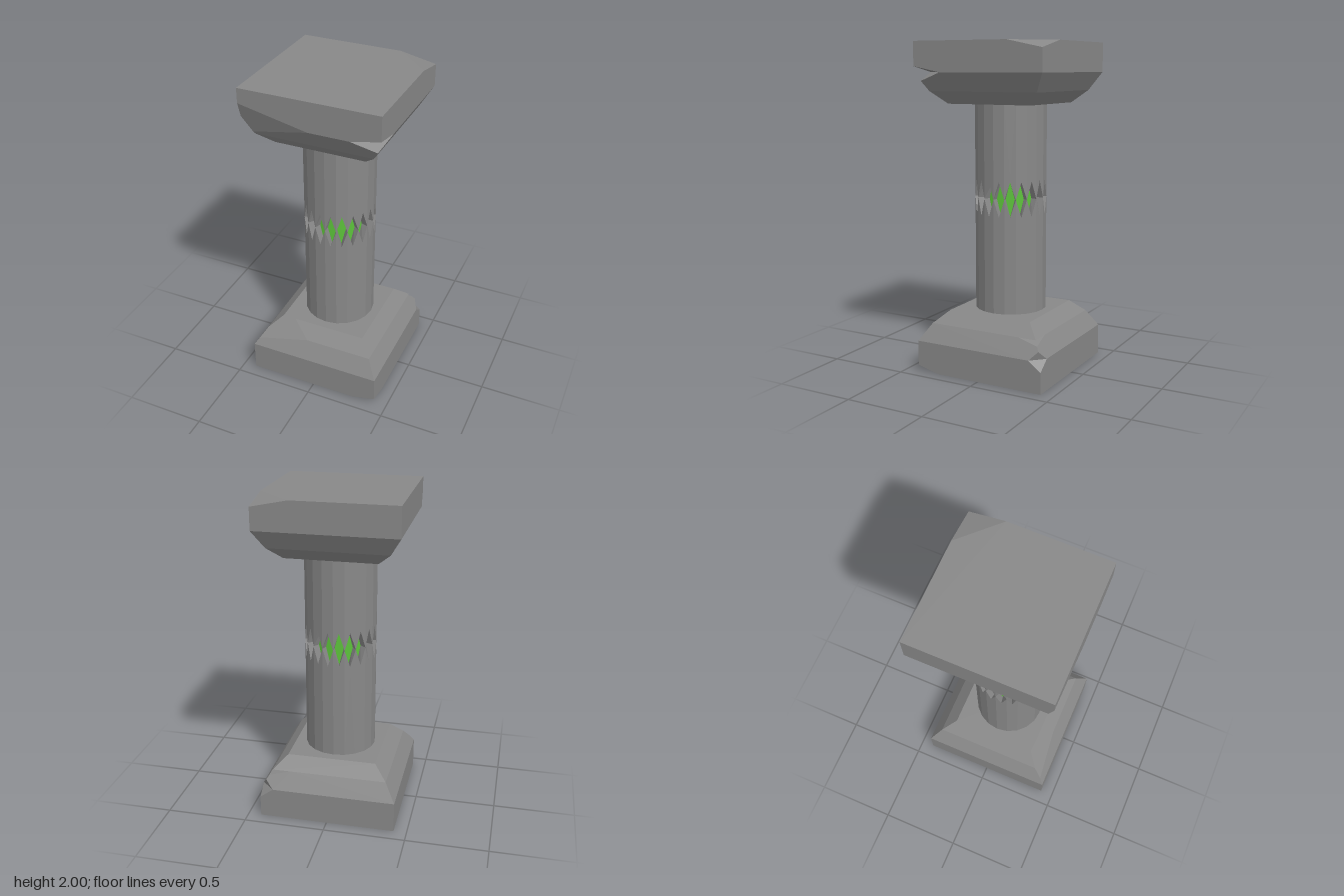
import * as THREE from 'three';
import { ConvexGeometry } from 'three/addons/geometries/ConvexGeometry.js';

const V = (x, y, z) => new THREE.Vector3(x, y, z);

// Plane through three points, turned so that the given centre lies behind it
function planeThrough(points, centre) {
  const p = new THREE.Plane().setFromCoplanarPoints(...points.map(q => V(...q)));
  return p.distanceToPoint(centre) > 0 ? p.negate() : p;
}

// Square convex slab from half-width h0 at y0 to h1 at y1, chipped by cutting planes
function chippedSlab(y0, h0, y1, h1, cuts = []) {
  const centre = V(0, (y0 + y1) / 2, 0);
  const planes = [
    new THREE.Plane(V(0, -1, 0), y0),
    new THREE.Plane(V(0, 1, 0), -y1),
    ...[1, -1].flatMap(s => [
      planeThrough([[s * h0, y0, 0], [s * h0, y0, 1], [s * h1, y1, 0]], centre),
      planeThrough([[0, y0, s * h0], [1, y0, s * h0], [0, y1, s * h1]], centre),
    ]),
    ...cuts.map(c => planeThrough(c, centre)),
  ];
  // corners are the plane triples that meet inside every other plane
  const corners = [];
  const n = planes.length;
  for (let i = 0; i < n; i++) for (let j = i + 1; j < n; j++) for (let k = j + 1; k < n; k++) {
    const [a, b, c] = [planes[i], planes[j], planes[k]];
    const bc = b.normal.clone().cross(c.normal);
    const det = a.normal.dot(bc);
    if (Math.abs(det) < 1e-5) continue;
    const p = bc.multiplyScalar(-a.constant)
      .addScaledVector(c.normal.clone().cross(a.normal), -b.constant)
      .addScaledVector(a.normal.clone().cross(b.normal), -c.constant)
      .divideScalar(det);
    if (planes.every(q => q.distanceToPoint(p) < 1e-5) &&
        corners.every(q => q.distanceTo(p) > 1e-4)) corners.push(p);
  }
  return new ConvexGeometry(corners);
}

// Half of the shaft: faceted tube whose edge at yMid is cut into V notches
function notchedShaft(yEnd, yMid, yTip, radius, inner, sides) {
  const pos = [];
  const up = yEnd < yMid;
  const tri = (a, b, c) => (up ? [a, b, c] : [a, c, b]).forEach(p => pos.push(p.x, p.y, p.z));
  const quad = (a, b, c, d) => { tri(a, b, c); tri(a, c, d); };
  const at = (angle, r, y) => V(Math.sin(angle) * r, y, Math.cos(angle) * r);
  const step = Math.PI * 2 / sides;
  const flat = Math.cos(step / 2);
  for (let i = 0; i < sides; i++) {
    const a = i * step, m = a + step / 2, b = a + step;
    const e0 = at(a, radius, yEnd), e1 = at(b, radius, yEnd);
    const m0 = at(a, radius, yMid), m1 = at(b, radius, yMid);
    const tip = at(m, radius * flat, yTip), tipIn = at(m, inner * flat, yTip);
    const in0 = at(a, inner, yMid), in1 = at(b, inner, yMid);
    // outer facet
    tri(e0, e1, tip);
    tri(e1, m1, tip);
    tri(e0, tip, m0);
    // notch walls
    quad(m0, tip, tipIn, in0);
    quad(tip, m1, in1, tipIn);
  }
  const g = new THREE.BufferGeometry();
  g.setAttribute('position', new THREE.Float32BufferAttribute(pos, 3));
  g.computeVertexNormals();
  return g;
}

export function createModel() {
  const stone = new THREE.MeshStandardMaterial({ color: 0x888888 });
  stone.name = 'stone';
  const glow = new THREE.MeshStandardMaterial({ color: 0x5cc23a });
  glow.name = 'glowGreen';

  const model = new THREE.Group();
  model.name = 'pillar';
  const add = (parent, name, geometry, material) => {
    const mesh = new THREE.Mesh(geometry, material);
    mesh.name = name;
    parent.add(mesh);
  };
  const group = name => {
    const g = new THREE.Group();
    g.name = name;
    model.add(g);
    return g;
  };

  // Base: plinth and two sloped courses with chipped corners
  const base = group('base');
  const frontLeftChip = [[-0.392, 0.235, 0.392], [-0.07, 0.295, 0.355], [-0.19, 0.37, 0.275]];
  add(base, 'basePlinth', chippedSlab(0, 0.42, 0.19, 0.42, [
    [[0.27, 0, 0.42], [0.42, 0, 0.28], [0.42, 0.035, 0.42]],
    [[0.42, 0.13, -0.42], [0.42, 0.19, -0.34], [0.34, 0.19, -0.42]],
  ]), stone);
  add(base, 'baseLowerSlope', chippedSlab(0.19, 0.42, 0.295, 0.355, [
    frontLeftChip,
    [[0.42, 0.19, -0.34], [0.34, 0.19, -0.42], [0.389, 0.24, -0.389]],
    [[0.355, 0.295, -0.24], [0.24, 0.295, -0.355], [0.374, 0.265, -0.374]],
  ]), stone);
  add(base, 'baseUpperSlope', chippedSlab(0.295, 0.355, 0.37, 0.275, [frontLeftChip]), stone);

  // Capital: the base turned over, with its own chips
  const capital = group('capital');
  const sideChip = [[-0.42, 1.91, 0.42], [0, 1.82, 0.42], [-0.364, 1.725, 0.364]];
  const notch = [[0.24, 1.82, 0.42], [0.42, 1.82, 0.24]];
  add(capital, 'capitalLowerSlope', chippedSlab(1.635, 0.275, 1.71, 0.355), stone);
  add(capital, 'capitalUpperSlope', chippedSlab(1.71, 0.355, 1.82, 0.42, [
    sideChip, [...notch, [0.39, 1.77, 0.39]],
  ]), stone);
  add(capital, 'capitalSlab', chippedSlab(1.82, 0.42, 2, 0.42, [
    sideChip, [...notch, [0.42, 1.855, 0.42]],
    [[0.2, 2, -0.42], [0.42, 2, -0.2], [0.42, 1.955, -0.42]],
  ]), stone);

  // Shaft halves meeting in a ring of diamond openings over a glowing core
  const shaft = group('shaft');
  add(shaft, 'lowerShaft', notchedShaft(0.37, 1.07, 0.963, 0.22, 0.175, 20), stone);
  add(shaft, 'upperShaft', notchedShaft(1.635, 1.07, 1.177, 0.22, 0.175, 20), stone);
  const core = new THREE.CylinderGeometry(0.177, 0.177, 0.3, 20, 1, true).toNonIndexed();
  core.computeVertexNormals();
  core.translate(0, 1.07, 0);
  add(shaft, 'glowingCore', core, glow);

  return model;
}
